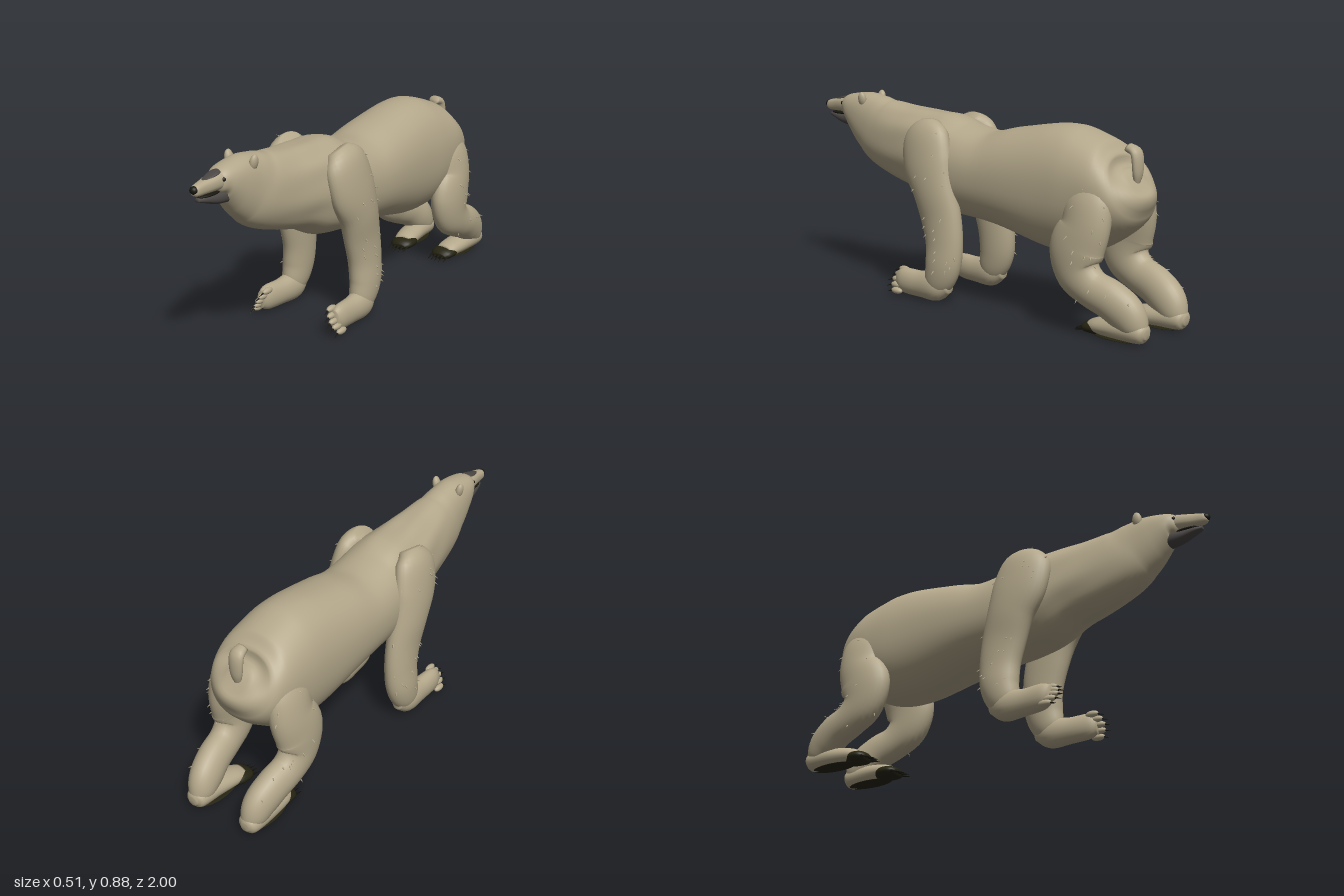
import * as THREE from 'three';
import { mergeGeometries } from 'three/addons/utils/BufferGeometryUtils.js';

const material = (name, color) => Object.assign(new THREE.MeshStandardMaterial({ color }), { name });
const V = (x, y, z) => new THREE.Vector3(x, y, z);

// Smooth closed tube through sections [x, y, z, halfWidth, halfDepth].
function loft(sections, steps, sides, power = 2, ripple = null) {
  const centres = new THREE.CatmullRomCurve3(sections.map(s => V(s[0], s[1], s[2])), false, 'catmullrom');
  const radii = new THREE.CatmullRomCurve3(sections.map(s => V(s[3], s[4], 0)), false, 'catmullrom');
  const pos = [], index = [];
  const bend = v => Math.sign(v) * Math.abs(v) ** (2 / power);
  for (let i = 0; i <= steps; i++) {
    const c = centres.getPoint(i / steps), r = radii.getPoint(i / steps), t = centres.getTangent(i / steps);
    const side = V(1, 0, 0).addScaledVector(t, -t.x).normalize();
    const up = t.clone().cross(side);
    for (let j = 0; j < sides; j++) {
      const a = j / sides * Math.PI * 2;
      const k = ripple ? ripple(c.z, a) : 1;
      const p = c.clone().addScaledVector(side, bend(Math.cos(a)) * r.x * k).addScaledVector(up, bend(Math.sin(a)) * r.y * k);
      pos.push(p.x, p.y, p.z);
    }
  }
  for (let i = 0; i < steps; i++) for (let j = 0; j < sides; j++) {
    const n = (j + 1) % sides, a = i * sides + j, b = i * sides + n;
    index.push(a, b, a + sides, b, b + sides, a + sides);
  }
  const first = pos.length / 3, last = steps * sides;
  const c0 = centres.getPoint(0), c1 = centres.getPoint(1);
  pos.push(c0.x, c0.y, c0.z, c1.x, c1.y, c1.z);
  for (let j = 0; j < sides; j++) {
    const n = (j + 1) % sides;
    index.push(first, n, j, first + 1, last + j, last + n);
  }
  const g = new THREE.BufferGeometry();
  g.setAttribute('position', new THREE.Float32BufferAttribute(pos, 3));
  g.setIndex(index);
  g.computeVertexNormals();
  return g;
}

const blob = (p, r) => new THREE.SphereGeometry(1, 16, 12).scale(...r).translate(...p);

// Cone whose base sits at p and whose tip points along dir.
function spike(p, dir, length, radius) {
  const g = new THREE.ConeGeometry(radius, length, 6).translate(0, length / 2, 0);
  g.applyQuaternion(new THREE.Quaternion().setFromUnitVectors(V(0, 1, 0), dir.clone().normalize()));
  return g.translate(p.x, p.y, p.z);
}

let seed = 7;
const random = () => (seed = (seed * 16807) % 2147483647) / 2147483647;

// Scatter small tufts over the outer face of a limb.
function tufts(geometry, side, count) {
  const pos = geometry.attributes.position, nor = geometry.attributes.normal, list = [];
  for (let tries = 0; list.length < count && tries < 2000; tries++) {
    const i = Math.floor(random() * pos.count);
    const p = V().fromBufferAttribute(pos, i), n = V().fromBufferAttribute(nor, i);
    if (n.x * side < 0.2 || p.y < 0.15) continue;
    list.push(spike(p.addScaledVector(n, -0.003), n.add(V(0, -0.7, 0)), 0.02, 0.004));
  }
  return mergeGeometries(list);
}

export function createModel() {
  const model = new THREE.Group();
  model.name = 'bear';
  const fur = material('fur', 0xb3a78a);
  const pad = material('pad', 0x252311);
  const muzzleGrey = material('muzzleGrey', 0x4a4644);
  const black = material('noseBlack', 0x18170f);
  const add = (name, geometry, mat, parent = model) => {
    const mesh = new THREE.Mesh(geometry, mat);
    mesh.name = name;
    parent.add(mesh);
    return mesh;
  };

  // Trunk, neck and skull: [z, top, bottom, half width]
  const outline = [
    [-0.835, 0.69, 0.58, 0.05], [-0.81, 0.75, 0.48, 0.15], [-0.74, 0.79, 0.39, 0.188], [-0.6, 0.828, 0.31, 0.2],
    [-0.45, 0.835, 0.3, 0.2], [-0.25, 0.803, 0.34, 0.2], [-0.08, 0.768, 0.37, 0.195], [0.08, 0.79, 0.38, 0.188],
    [0.2, 0.828, 0.4, 0.175], [0.32, 0.832, 0.455, 0.155], [0.45, 0.84, 0.49, 0.132], [0.58, 0.858, 0.535, 0.11],
    [0.66, 0.878, 0.59, 0.092], [0.74, 0.887, 0.66, 0.08], [0.81, 0.868, 0.73, 0.066], [0.85, 0.84, 0.755, 0.045],
    [0.87, 0.82, 0.77, 0.02],
  ];
  const folds = (z, a) => {
    const band = Math.max(0, 1 - Math.abs(z - 0.33) / 0.3);
    return 1 + 0.016 * band * Math.sin(a * 9 + z * 8);
  };
  add('body', loft(outline.map(([z, t, b, w]) => [0, (t + b) / 2, z, w, (t - b) / 2]), 96, 56, 2.2, folds), fur);
  add('tail', loft([[0, 0.765, -0.79, 0.025, 0.02], [0, 0.745, -0.83, 0.034, 0.02], [0, 0.67, -0.838, 0.03, 0.018],
    [0, 0.61, -0.83, 0.012, 0.01]], 16, 16), fur);

  // Head details
  const head = new THREE.Group();
  head.name = 'head';
  model.add(head);
  add('upperMuzzle', loft([[0, 0.81, 0.79, 0.05, 0.045], [0, 0.808, 0.86, 0.042, 0.036], [0, 0.802, 0.93, 0.028, 0.029],
    [0, 0.798, 0.975, 0.021, 0.023], [0, 0.798, 0.99, 0.012, 0.012]], 24, 24, 2.4), fur, head);
  add('lowerJaw', loft([[0, 0.74, 0.78, 0.042, 0.035], [0, 0.74, 0.86, 0.034, 0.025], [0, 0.752, 0.93, 0.023, 0.014],
    [0, 0.757, 0.965, 0.012, 0.008]], 20, 20, 2.4), muzzleGrey, head);
  add('mouth', blob([0, 0.766, 0.89], [0.026, 0.009, 0.07]), black, head);
  add('nose', blob([0, 0.803, 0.983], [0.018, 0.017, 0.017]), black, head);
  add('muzzleBridge', loft([[0, 0.846, 0.83, 0.014, 0.008], [0, 0.841, 0.86, 0.026, 0.009], [0, 0.833, 0.9, 0.02, 0.007],
    [0, 0.823, 0.945, 0.008, 0.004]], 16, 16), muzzleGrey, head);

  for (const s of [1, -1]) {
    const label = s > 0 ? 'left' : 'right';
    const mirror = sections => sections.map(([x, ...rest]) => [x * s, ...rest]);
    add(label + 'Eye', blob([0.036 * s, 0.818, 0.848], [0.012, 0.01, 0.012]), black, head);
    const ear = add(label + 'Ear', blob([0, 0, 0], [0.017, 0.036, 0.022]), fur, head);
    ear.position.set(0.062 * s, 0.848, 0.69);
    ear.rotation.z = -0.2 * s;

    // Front leg
    const front = new THREE.Group();
    front.name = label + 'FrontLeg';
    model.add(front);
    const arm = loft(mirror([
      [0.12, 0.79, 0.2, 0.04, 0.06], [0.153, 0.74, 0.19, 0.06, 0.12], [0.174, 0.62, 0.165, 0.064, 0.135],
      [0.178, 0.5, 0.12, 0.066, 0.115], [0.174, 0.38, 0.085, 0.061, 0.108], [0.176, 0.27, 0.066, 0.06, 0.098],
      [0.182, 0.17, 0.07, 0.06, 0.09], [0.184, 0.09, 0.1, 0.05, 0.07], [0.188, 0.045, 0.13, 0.025, 0.03],
    ]), 44, 28);
    add('foreleg', arm, fur, front);
    add('forelegTufts', tufts(arm, s, 22), fur, front);
    add('frontPaw', loft(mirror([
      [0.183, 0.085, 0.03, 0.025, 0.03], [0.185, 0.075, 0.1, 0.05, 0.066], [0.188, 0.07, 0.2, 0.044, 0.06],
      [0.194, 0.073, 0.29, 0.036, 0.058], [0.198, 0.073, 0.33, 0.02, 0.04],
    ]), 24, 24), fur, front);
    const toes = [], claws = [];
    for (let i = 0; i < 5; i++) {
      const f = i / 4, x = (0.172 + 0.052 * f) * s, y = 0.116 - 0.09 * f, z = 0.315 + 0.02 * Math.sin(f * Math.PI);
      toes.push(blob([x, y, z], [0.015, 0.015, 0.032]));
      claws.push(spike(V(x, y, z + 0.022), V(0.1 * s, -0.35, 1), 0.04, 0.006));
    }
    add('frontToes', mergeGeometries(toes), fur, front);
    add('frontClaws', mergeGeometries(claws), black, front);

    // Hind leg
    const hind = new THREE.Group();
    hind.name = label + 'HindLeg';
    model.add(hind);
    const thigh = loft(mirror([
      [0.11, 0.63, -0.68, 0.05, 0.08], [0.138, 0.55, -0.695, 0.07, 0.115], [0.162, 0.45, -0.7, 0.068, 0.115],
      [0.172, 0.355, -0.665, 0.068, 0.13], [0.172, 0.265, -0.675, 0.066, 0.11], [0.168, 0.205, -0.74, 0.065, 0.084],
      [0.158, 0.168, -0.83, 0.066, 0.084], [0.146, 0.12, -0.9, 0.064, 0.082], [0.14, 0.065, -0.94, 0.052, 0.06],
      [0.14, 0.03, -0.95, 0.025, 0.03],
    ]), 50, 28);
    add('thighAndShin', thigh, fur, hind);
    add('hindTufts', tufts(thigh, s, 18), fur, hind);
    add('hindFoot', loft(mirror([
      [0.14, 0.05, -0.998, 0.02, 0.02], [0.14, 0.052, -0.97, 0.048, 0.044], [0.136, 0.052, -0.87, 0.055, 0.046],
      [0.125, 0.045, -0.77, 0.055, 0.038], [0.118, 0.038, -0.715, 0.045, 0.026],
    ]), 24, 24), fur, hind);
    add('forefootPad', loft(mirror([
      [0.125, 0.034, -0.78, 0.045, 0.028], [0.118, 0.034, -0.745, 0.058, 0.031], [0.116, 0.03, -0.7, 0.055, 0.026],
      [0.115, 0.022, -0.675, 0.035, 0.014],
    ]), 16, 24), pad, hind);
    add('sole', blob([0.132 * s, 0.009, -0.85], [0.05, 0.005, 0.12]), pad, hind);
    const hindClaws = [];
    for (let i = 0; i < 5; i++) {
      const x = (0.073 + 0.021 * i) * s, z = -0.69 + 0.014 * Math.sin(i / 4 * Math.PI);
      hindClaws.push(spike(V(x, 0.026, z), V(0, -0.3, 1), 0.055, 0.007));
    }
    add('hindClaws', mergeGeometries(hindClaws), black, hind);
  }
  return model;
}
